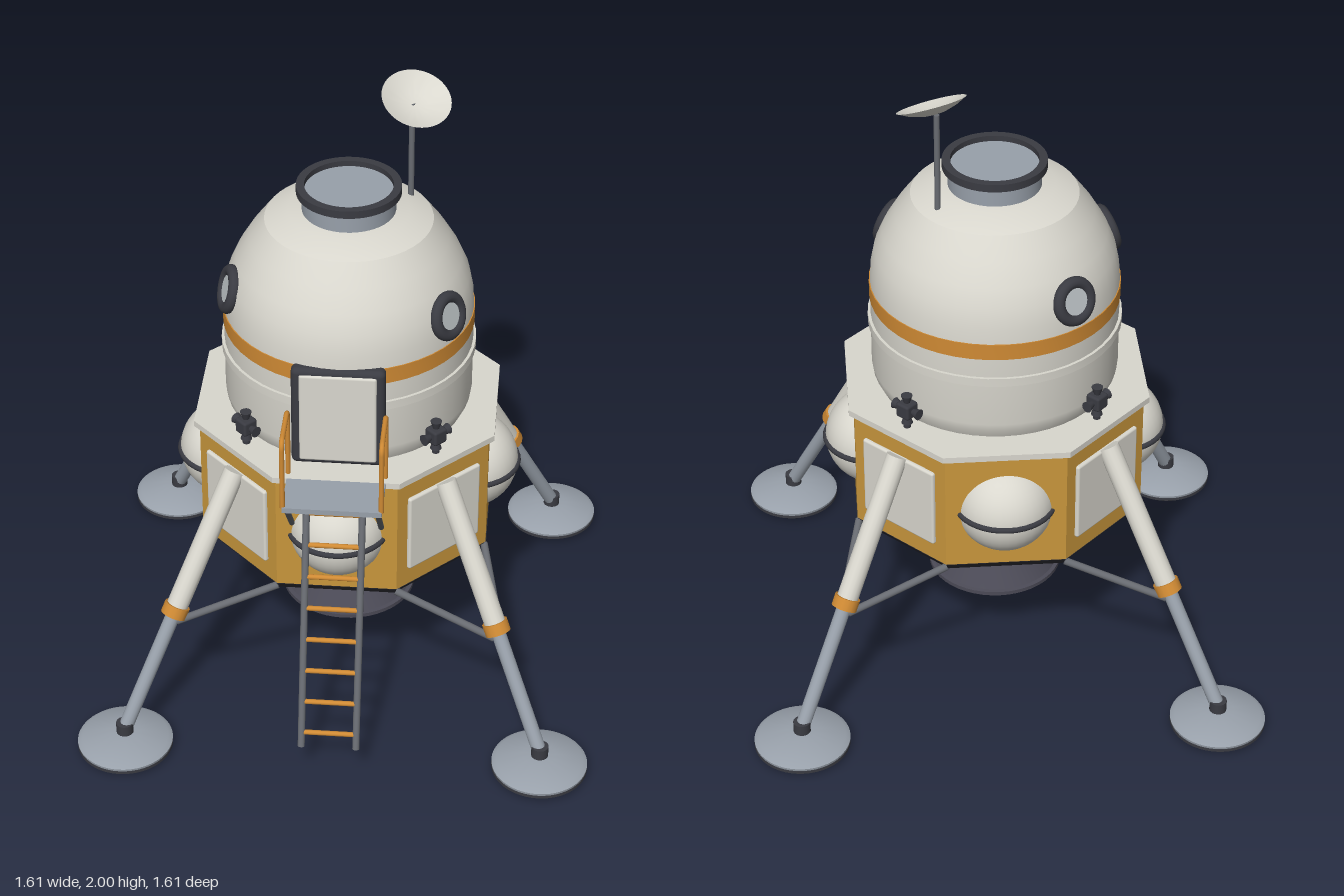
import * as THREE from 'three';
import { toCreasedNormals } from 'three/addons/utils/BufferGeometryUtils.js';
import { RoundedBoxGeometry } from 'three/addons/geometries/RoundedBoxGeometry.js';

const V = (x, y, z) => new THREE.Vector3(x, y, z);
const UP = V(0, 1, 0);

function paint(name, color, side = THREE.FrontSide) {
  const m = new THREE.MeshStandardMaterial({ color, side });
  m.name = name;
  return m;
}

export function createModel() {
  const model = new THREE.Group();
  model.name = 'lander';
  const hull = paint('hull white', 0xd9d7ce, THREE.DoubleSide);
  const gold = paint('gold foil', 0xc8963c);
  const orange = paint('orange trim', 0xcf8a34);
  const silver = paint('silver', 0x98a0aa);
  const steel = paint('steel', 0x686b71);
  const dark = paint('dark frame', 0x3a3b42);
  const bellGrey = paint('engine grey', 0x4b4a56, THREE.DoubleSide);
  const black = paint('underside black', 0x2a2a31);
  const glass = paint('window glass', 0xbcc2c5);

  function add(name, geo, mat, pos = V(0, 0, 0), parent = model) {
    const mesh = new THREE.Mesh(geo, mat);
    mesh.name = name;
    mesh.position.copy(pos);
    parent.add(mesh);
    return mesh;
  }
  // Round bar between two points
  function rod(name, a, b, r, mat, parent = model, r2 = r) {
    const d = b.clone().sub(a);
    const mesh = add(name, new THREE.CylinderGeometry(r2, r, d.length(), 16), mat,
      a.clone().add(b).multiplyScalar(0.5), parent);
    mesh.quaternion.setFromUnitVectors(UP, d.normalize());
    return mesh;
  }
  // Turned part from [radius, height] pairs, listed bottom to top
  function turned(name, pts, mat, parent = model, pos = V(0, 0, 0), seg = 48) {
    const geo = new THREE.LatheGeometry(pts.map(p => new THREE.Vector2(p[0], p[1])), seg);
    return add(name, toCreasedNormals(geo, 0.4), mat, pos, parent);
  }
  // Eight-sided prism with flat sides facing the axes
  function octagon(name, top, bottom, y0, y1, mat) {
    const k = 1 / Math.cos(Math.PI / 8);
    const geo = new THREE.CylinderGeometry(top * k, bottom * k, y1 - y0, 8, 1, false, Math.PI / 8);
    return add(name, toCreasedNormals(geo, 0.3), mat, V(0, (y0 + y1) / 2, 0));
  }

  // Descent stage
  octagon('descentBody', 0.45, 0.45, 0.525, 0.93, gold);
  octagon('undersidePlate', 0.452, 0.43, 0.495, 0.525, black);
  octagon('deck', 0.467, 0.467, 0.925, 0.945, hull);

  // Round tanks on the four main sides
  for (let i = 0; i < 4; i++) {
    const tank = new THREE.Group();
    tank.name = 'tank';
    tank.rotation.y = i * Math.PI / 2;
    model.add(tank);
    add('tankSphere', new THREE.SphereGeometry(0.155, 36, 24), hull, V(0, 0.715, 0.385), tank);
    add('tankBand', new THREE.TorusGeometry(0.154, 0.01, 10, 40), dark, V(0, 0.715, 0.385), tank)
      .rotation.x = Math.PI / 2;
  }

  // Diagonal quarters: panel, leg, foot and thrusters, built facing +z then turned
  for (let i = 0; i < 4; i++) {
    const q = new THREE.Group();
    q.name = 'legQuarter';
    q.rotation.y = Math.PI / 4 + i * Math.PI / 2;
    model.add(q);
    add('sidePanel', new RoundedBoxGeometry(0.29, 0.27, 0.03, 2, 0.008), hull, V(0, 0.722, 0.447), q);

    const hip = V(0, 0.86, 0.46), foot = V(0, 0.07, 0.924);
    const at = t => hip.clone().lerp(foot, t);
    rod('upperLeg', hip, at(0.54), 0.034, hull, q);
    rod('legCollar', at(0.515), at(0.555), 0.041, orange, q);
    rod('lowerLeg', at(0.54), foot, 0.023, silver, q);
    add('ankle', new THREE.CylinderGeometry(0.027, 0.027, 0.045, 20), dark, V(0, 0.072, 0.924), q);
    turned('footPad', [[0.148, 0.018], [0.15, 0.03], [0.135, 0.04], [0.05, 0.058], [0, 0.058]],
      silver, q, V(0, 0, 0.924));
    turned('footSole', [[0, 0], [0.135, 0], [0.15, 0.012], [0.15, 0.022], [0, 0.022]],
      dark, q, V(0, 0, 0.924));
    for (const s of [-1, 1])
      rod('legBrace', V(s * 0.185, 0.515, 0.445), V(s * 0.015, 0.405, 0.715), 0.012, steel, q);

    // Thruster cluster
    const c = V(0, 1.01, 0.412);
    add('thrusterBlock', new RoundedBoxGeometry(0.05, 0.05, 0.05, 2, 0.008), dark, c, q);
    rod('thrusterMount', V(0, 1.01, 0.37), c, 0.015, steel, q);
    rod('thrusterPost', V(0, 0.94, 0.412), c, 0.012, dark, q);
    for (const d of [V(0, 1, 0), V(0, -1, 0), V(1, 0, 0), V(-1, 0, 0)])
      rod('thrusterNozzle', c.clone().addScaledVector(d, 0.022), c.clone().addScaledVector(d, 0.05),
        0.009, dark, q, 0.018);
  }

  // Engine
  turned('engineShield', [[0.07, 0.475], [0.17, 0.495]], bellGrey);
  turned('engineBell', [[0.205, 0.205], [0.215, 0.205], [0.215, 0.218], [0.203, 0.22], [0.175, 0.262],
    [0.14, 0.318], [0.107, 0.375], [0.083, 0.425], [0.072, 0.47], [0.085, 0.5]], bellGrey);
  add('engineGlow', new THREE.CircleGeometry(0.207, 48), orange, V(0, 0.212, 0)).rotation.x = Math.PI / 2;

  // Ascent cabin
  turned('cabinBase', [[0.365, 0.94], [0.382, 0.975], [0.386, 1.0], [0.386, 1.24]], hull);
  turned('cabinRing', [[0.38, 1.147], [0.395, 1.147], [0.395, 1.175], [0.38, 1.175]], hull);
  turned('cabinStripe', [[0.384, 1.24], [0.389, 1.24], [0.389, 1.293], [0.382, 1.293]], orange);
  turned('cabinDome', [[0.386, 1.29], [0.383, 1.34], [0.37, 1.405], [0.345, 1.463], [0.305, 1.53],
    [0.257, 1.595], [0.185, 1.625], [0, 1.63]], hull);

  // Top hatch
  turned('hatchNeck', [[0.143, 1.62], [0.143, 1.692], [0, 1.692]], silver);
  turned('hatchRim', [[0.135, 1.685], [0.16, 1.685], [0.16, 1.71], [0.135, 1.71], [0.135, 1.685]], dark);

  // Round windows, tilted with the dome
  for (const [x, z] of [[0.315, 0.2], [-0.36, 0.11], [-0.215, -0.308]]) {
    const w = new THREE.Group();
    w.name = 'window';
    const a = Math.atan2(x, z);
    w.position.set(Math.sin(a) * 0.374, 1.385, Math.cos(a) * 0.374);
    w.rotation.set(-0.27, a, 0, 'YXZ');
    model.add(w);
    add('windowFrame', new THREE.TorusGeometry(0.058, 0.019, 12, 32), dark, V(0, 0, 0), w);
    add('windowGlass', new THREE.CylinderGeometry(0.05, 0.05, 0.03, 32), glass, V(0, 0, -0.005), w)
      .rotation.x = Math.PI / 2;
  }

  // Front door
  add('doorFrame', new RoundedBoxGeometry(0.285, 0.345, 0.05, 3, 0.018), dark, V(0, 1.125, 0.373));
  add('doorPanel', new RoundedBoxGeometry(0.235, 0.31, 0.02, 2, 0.008), hull, V(0, 1.125, 0.394));

  // Porch with hand rails and supports
  add('porch', new THREE.BoxGeometry(0.3, 0.018, 0.185), silver, V(0, 0.936, 0.523));
  for (const s of [-1, 1]) {
    const x = s * 0.148;
    const path = new THREE.CurvePath();
    path.add(new THREE.LineCurve3(V(x, 0.94, 0.605), V(x, 1.15, 0.605)));
    path.add(new THREE.QuadraticBezierCurve3(V(x, 1.15, 0.605), V(x, 1.177, 0.605), V(x, 1.177, 0.578)));
    path.add(new THREE.LineCurve3(V(x, 1.177, 0.578), V(x, 1.177, 0.463)));
    path.add(new THREE.QuadraticBezierCurve3(V(x, 1.177, 0.463), V(x, 1.177, 0.436), V(x, 1.15, 0.436)));
    path.add(new THREE.LineCurve3(V(x, 1.15, 0.436), V(x, 0.94, 0.436)));
    add('handRail', new THREE.TubeGeometry(path, 80, 0.008, 10), orange);
    rod('porchSupport', V(s * 0.137, 0.93, 0.6), V(s * 0.137, 0.765, 0.45), 0.009, steel);
    rod('ladderRail', V(s * 0.085, 0.91, 0.505), V(s * 0.085, 0.125, 0.75), 0.011, steel);
  }
  for (let i = 0; i < 8; i++) {
    const y = 0.86 - i * 0.0985, z = 0.505 + (0.91 - y) * 0.312;
    rod('ladderRung', V(-0.085, y, z), V(0.085, y, z), 0.008, orange);
  }

  // Antenna
  rod('antennaMast', V(0.18, 1.58, -0.115), V(0.18, 1.93, -0.115), 0.009, steel);
  const dish = turned('antennaDish', [[0, -0.028], [0.04, -0.023], [0.075, -0.012], [0.107, 0.004]],
    hull, model, V(0.193, 1.953, -0.1));
  dish.quaternion.setFromUnitVectors(UP, V(0.25, 1, 0.42).normalize());
  return model;
}
